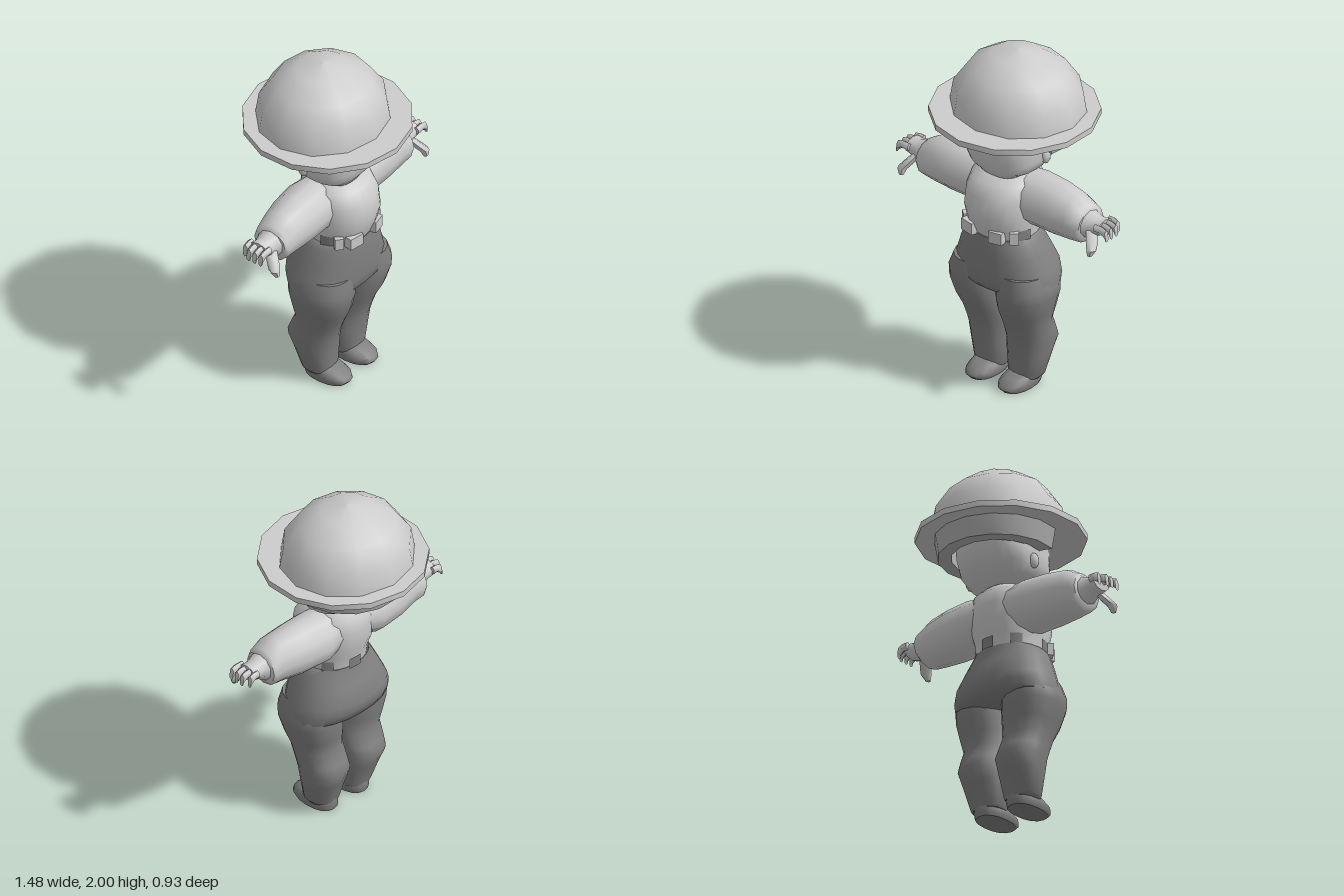
import * as THREE from 'three';
import { toCreasedNormals } from 'three/addons/utils/BufferGeometryUtils.js';

const mat = (name, color, side = THREE.FrontSide) => {
  const m = new THREE.MeshStandardMaterial({ color, side });
  m.name = name;
  return m;
};

// Loft of rounded sections. Ring: [position, centreU, minZ, maxZ, radiusU].
// Axis y: U is x. Axis x: U is y. s = -1 mirrors the form in x.
function loft(rings, { n = 20, axis = 'y', s = 1, power = 2, crease = 1 } = {}) {
  const pos = [], idx = [];
  const put = (t, u, z) => pos.push(...(axis === 'y' ? [u * s, t, z] : [t * s, u, z]));
  const round = v => Math.sign(v) * Math.abs(v) ** (2 / power);
  for (const [t, u, z0, z1, r] of rings) {
    for (let j = 0; j < n; j++) {
      const a = j / n * Math.PI * 2;
      put(t, u + r * round(Math.cos(a)), (z0 + z1) / 2 + (z1 - z0) / 2 * round(Math.sin(a)));
    }
  }
  const flip = (axis === 'x') !== (s < 0);
  const tri = (a, b, c) => idx.push(...(flip ? [a, c, b] : [a, b, c]));
  for (let i = 0; i < rings.length - 1; i++) {
    for (let j = 0; j < n; j++) {
      const a = i * n + j, b = i * n + (j + 1) % n;
      tri(a, a + n, b);
      tri(b, a + n, b + n);
    }
  }
  // End caps
  const last = rings.length - 1, c0 = rings.length * n;
  for (const i of [0, last]) put(rings[i][0], rings[i][1], (rings[i][2] + rings[i][3]) / 2);
  for (let j = 0; j < n; j++) {
    const k = (j + 1) % n;
    tri(c0, j, k);
    tri(c0 + 1, last * n + k, last * n + j);
  }
  const g = new THREE.BufferGeometry();
  g.setAttribute('position', new THREE.Float32BufferAttribute(pos, 3));
  g.setIndex(idx);
  return toCreasedNormals(g, crease);
}

export function createModel() {
  const root = new THREE.Group();
  root.name = 'helmetedFigure';
  const light = mat('lightGrey', 0xcccccc);
  const dark = mat('trouserGrey', 0x808080);
  const bandGrey = mat('bandGrey', 0xb0b0b0, THREE.DoubleSide);
  const add = (name, geometry, material) => {
    const m = new THREE.Mesh(geometry, material);
    m.name = name;
    root.add(m);
    return m;
  };
  const lathe = (pts, ...rest) =>
    new THREE.LatheGeometry(pts.map(p => new THREE.Vector2(...p)), ...rest);

  // Helmet dome, brim and the inner band that is open over the face
  const dome = add('helmetDome', lathe(
    [[0.385, 1.645], [0.365, 1.77], [0.28, 1.89], [0.15, 1.972], [0, 2]], 12), light);
  dome.scale.z = 0.935;
  dome.position.z = -0.03;
  add('helmetBrim', toCreasedNormals(lathe(
    [[0, 1.615], [0.467, 1.615], [0.467, 1.65], [0, 1.65]], 14), 0.6), light);
  const profile = [[0.25, 1.5], [0.325, 1.5], [0.345, 1.62], [0.265, 1.62]];
  const start = 1.28, end = Math.PI * 2 - start;
  const band = add('helmetBand', toCreasedNormals(
    lathe([...profile, profile[0]], 9, start, end - start), 0.8), bandGrey);
  band.position.z = -0.03;
  for (const phi of [start, end]) {
    const shape = new THREE.Shape(profile.map(p => new THREE.Vector2(...p)));
    const cap = add('helmetBandEnd', new THREE.ShapeGeometry(shape), bandGrey);
    cap.rotation.y = phi - Math.PI / 2;
    cap.position.z = -0.03;
  }

  // Head with a broad flat face
  add('head', loft([
    [1.29, 0, 0.06, 0.15, 0.04], [1.31, 0, -0.01, 0.19, 0.12], [1.36, 0, -0.11, 0.225, 0.2],
    [1.42, 0, -0.17, 0.243, 0.232], [1.5, 0, -0.22, 0.25, 0.225], [1.63, 0, -0.22, 0.25, 0.235],
  ], { n: 24, power: 2.7 }), light);

  // Shirt body
  add('shirt', loft([
    [0.945, 0, -0.09, 0.25, 0.19], [1.02, 0, -0.1, 0.28, 0.197], [1.1, 0, -0.13, 0.3, 0.21],
    [1.2, 0, -0.13, 0.287, 0.205], [1.28, 0, -0.12, 0.24, 0.19], [1.325, 0, -0.07, 0.14, 0.12],
  ], { n: 24, power: 2.2 }), light);

  // Trouser seat, overhanging the legs at the back
  add('trouserSeat', loft([
    [0.62, 0, -0.07, 0.24, 0.24], [0.65, 0, -0.145, 0.265, 0.318], [0.7, 0, -0.165, 0.27, 0.315],
    [0.75, 0, -0.17, 0.272, 0.298], [0.85, 0, -0.13, 0.27, 0.257], [0.92, 0, -0.1, 0.265, 0.225],
    [0.955, 0, -0.092, 0.258, 0.2],
  ], { n: 24, power: 2.3 }), dark);

  // Stepped waistband tabs rising over the shirt
  for (const [phi, span] of [[0.84, 0.62], [-1.46, 0.62], [2.1, 0.35], [2.9, 0.4], [-2.5, 0.35]]) {
    const tab = add('waistTab', new THREE.CylinderGeometry(1, 1, 0.065, 4, 1, true, phi, span), dark);
    tab.scale.set(0.203, 1, 0.19);
    tab.position.set(0, 0.98, 0.085);
  }
  // Belt pouches
  for (const [x, z, w, ry] of [[-0.1, 0.255, 0.09, -0.2], [0.09, 0.255, 0.08, 0.2],
    [-0.165, 0.2, 0.05, -0.7], [0.165, 0.2, 0.05, 0.7]]) {
    const pouch = add('beltPouch', new THREE.BoxGeometry(w, 0.07, 0.05), light);
    pouch.position.set(x, 0.985, z);
    pouch.rotation.y = ry;
  }

  for (const s of [1, -1]) {
    const side = s > 0 ? 'left' : 'right';

    // Ear
    const ear = add(side + 'Ear', new THREE.SphereGeometry(1, 8, 6), light);
    ear.scale.set(0.025, 0.045, 0.03);
    ear.position.set(s * 0.228, 1.435, 0.01);

    // Puffy sleeve
    add(side + 'Sleeve', loft([
      [0.06, 1.19, -0.1, 0.16, 0.12], [0.2, 1.173, -0.125, 0.18, 0.152],
      [0.35, 1.172, -0.11, 0.178, 0.15], [0.48, 1.172, -0.08, 0.17, 0.138],
      [0.555, 1.155, -0.07, 0.162, 0.11], [0.575, 1.16, -0.06, 0.15, 0.088],
    ], { n: 12, axis: 'x', s }), light);

    // Wrist and palm
    add(side + 'Hand', loft([
      [0.55, 1.16, -0.05, 0.145, 0.085], [0.59, 1.165, -0.025, 0.125, 0.075],
      [0.63, 1.17, -0.015, 0.11, 0.052], [0.68, 1.178, -0.02, 0.112, 0.045],
    ], { n: 10, axis: 'x', s }), light);

    // Curled fingers: knuckle segment plus a tip bending down
    for (let i = 0; i < 4; i++) {
      const z = -0.015 + i * 0.04, reach = i === 0 ? -0.02 : 0;
      add(side + 'Finger', loft([
        [0.655, 1.19, z - 0.018, z + 0.018, 0.024], [0.705 + reach, 1.192, z - 0.018, z + 0.018, 0.022],
        [0.735 + reach, 1.175, z - 0.016, z + 0.016, 0.03], [0.74 + reach, 1.15, z - 0.014, z + 0.014, 0.018],
      ], { n: 6, axis: 'x', s }), light);
    }

    // Thumb hanging down and forward
    add(side + 'Thumb', loft([
      [1.045, 0.665, 0.145, 0.175, 0.014], [1.08, 0.668, 0.115, 0.178, 0.03],
      [1.12, 0.64, 0.075, 0.15, 0.03], [1.165, 0.61, 0.04, 0.115, 0.025],
    ], { n: 6, s }), light);

    // Leg: full thigh, narrow knee, rounded calf
    add(side + 'Leg', loft([
      [0.05, 0.117, -0.045, 0.13, 0.09], [0.07, 0.12, -0.05, 0.13, 0.103],
      [0.2, 0.128, -0.095, 0.142, 0.122], [0.28, 0.134, -0.13, 0.152, 0.13],
      [0.34, 0.137, -0.105, 0.168, 0.132], [0.42, 0.139, -0.07, 0.198, 0.134],
      [0.5, 0.15, -0.085, 0.238, 0.146], [0.6, 0.162, -0.1, 0.267, 0.159],
      [0.66, 0.163, -0.1, 0.268, 0.16], [0.74, 0.15, -0.08, 0.255, 0.14],
    ], { n: 18, power: 2.3, s }), dark);

    // Foot
    add(side + 'Foot', loft([
      [0, 0.115, -0.045, 0.22, 0.08], [0.02, 0.115, -0.05, 0.238, 0.088],
      [0.045, 0.115, -0.05, 0.23, 0.088], [0.068, 0.116, -0.048, 0.18, 0.08],
      [0.09, 0.117, -0.04, 0.12, 0.07],
    ], { n: 16, power: 2.3, s }), dark);
  }

  return root;
}
